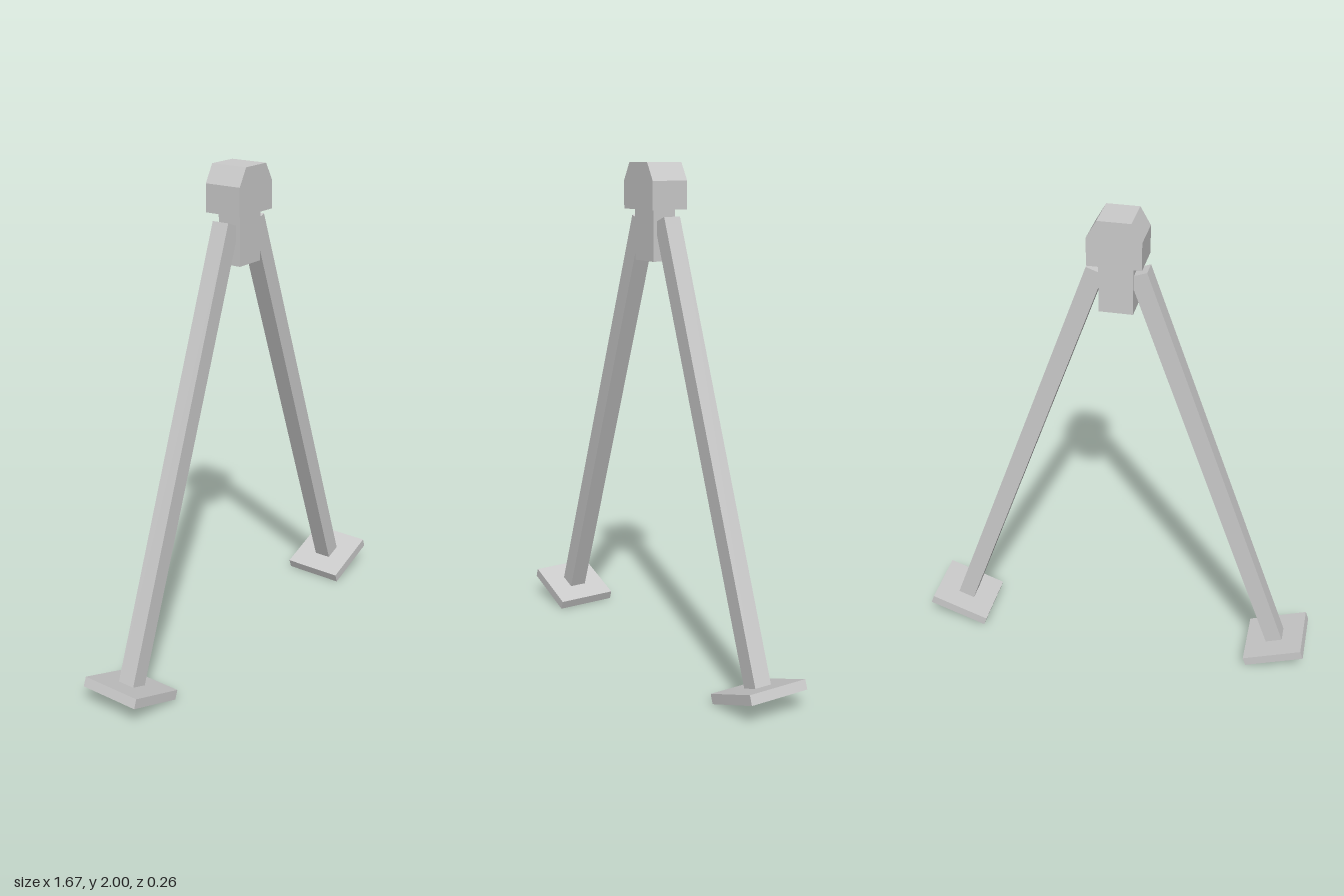
import * as THREE from 'three';

export function createModel() {
  const group = new THREE.Group();
  const material = new THREE.MeshStandardMaterial({ color: 0xcccccc, flatShading: true });

  const addBox = (parent, name, size, position) => {
    const mesh = new THREE.Mesh(new THREE.BoxGeometry(...size), material);
    mesh.name = name;
    mesh.position.set(...position);
    parent.add(mesh);
  };

  // Mounting head: block with chamfered upper corners
  const outline = [[-0.104, 1.82], [0.104, 1.82], [0.104, 1.93], [0.064, 2], [-0.064, 2], [-0.104, 1.93]];
  const shape = new THREE.Shape(outline.map(([x, y]) => new THREE.Vector2(x, y)));
  const depth = 0.158;
  const head = new THREE.Mesh(new THREE.ExtrudeGeometry(shape, { depth, bevelEnabled: false }), material);
  head.name = 'head';
  head.position.z = -depth / 2 + 0.002;
  group.add(head);

  // Neck block under the head
  addBox(group, 'neck', [0.132, 0.2, 0.1], [0, 1.72, 0.004]);

  // Splayed legs, each with a square foot plate set at right angles to it
  const splay = THREE.MathUtils.degToRad(20);
  const legLength = 1.81;
  const footThickness = 0.039;
  for (const side of [1, -1]) {
    const leg = new THREE.Group();
    leg.name = side > 0 ? 'leftLeg' : 'rightLeg';
    leg.position.set(side * 0.7075, 0.0625, 0); // centre of the foot plate
    leg.rotation.z = side * splay;
    addBox(leg, 'legBar', [0.072, legLength, 0.073], [0, footThickness / 2 + legLength / 2, 0]);
    addBox(leg, 'foot', [0.257, footThickness, 0.257], [0, 0, 0]);
    group.add(leg);
  }

  return group;
}
